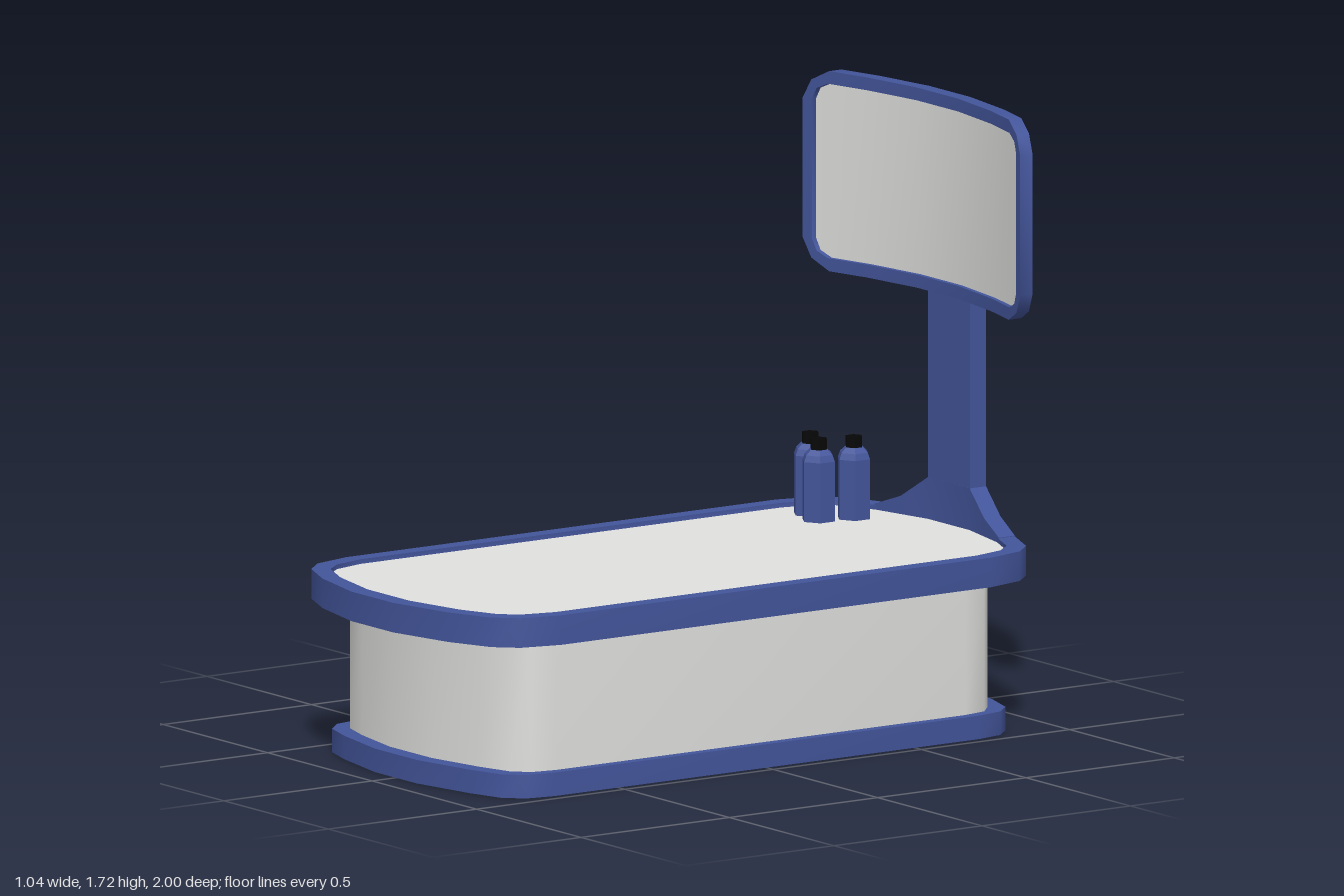
import * as THREE from 'three';
import { toCreasedNormals } from 'three/addons/utils/BufferGeometryUtils.js';

// Surface through matching loops; point i of a loop pairs with point n-1-i for the caps.
function loft(loops, { start = false, end = false, close = false, crease = 0.8 } = {}) {
  const n = loops[0].length;
  const index = [];
  const quad = (a, b, c, d) => index.push(a, b, c, a, c, d);
  const steps = close ? loops.length : loops.length - 1;
  for (let k = 0; k < steps; k++) {
    const a = k * n, b = ((k + 1) % loops.length) * n;
    for (let i = 0; i < n; i++) {
      const j = (i + 1) % n;
      quad(a + i, a + j, b + j, b + i);
    }
  }
  const top = (loops.length - 1) * n;
  for (let i = 0; i < n / 2 - 1; i++) {
    if (end) quad(top + i, top + i + 1, top + n - 2 - i, top + n - 1 - i);
    if (start) quad(n - 1 - i, n - 2 - i, i + 1, i);
  }
  const g = new THREE.BufferGeometry();
  g.setAttribute('position', new THREE.Float32BufferAttribute(loops.flat(2), 3));
  g.setIndex(index);
  return toCreasedNormals(g, crease);
}

// Counter outlines: a quarter mirrored front to back, then side to side
const RIM_OUTER = [[0.1, 1], [0.3, 0.956], [0.43, 0.902], [0.486, 0.842], [0.515, 0.725]];
const RIM_INNER = [[0.1, 0.945], [0.285, 0.906], [0.4, 0.858], [0.443, 0.806], [0.467, 0.71]];
const BASE = [[0.1, 0.92], [0.3, 0.882], [0.405, 0.85], [0.453, 0.8], [0.469, 0.715]];
const WALL = [[0.1, 0.87], [0.28, 0.836], [0.382, 0.806], [0.426, 0.764], [0.44, 0.69]];
const WALL_INSIDE = WALL.map(([x, z]) => [x * 0.985, z * 0.992]);
function counterLoop(quarter, y) {
  const half = [...quarter, ...quarter.map(([x, z]) => [x, -z]).reverse()];
  return [...half, ...half.map(([x, z]) => [-x, z]).reverse()].map(([x, z]) => [x, y, z]);
}

// Sign outline: a quarter mirrored, then bent along the curve of the sign
const SIGN_OUTER = [[0.521, 0.195], [0.491, 0.25], [0.43, 0.281], [0.3, 0.281], [0.1, 0.281]];
const SIGN_INNER = [[0.489, 0.195], [0.473, 0.228], [0.435, 0.245], [0.3, 0.245], [0.1, 0.245]];
const BEND = [[0, -0.905], [0.1, -0.905], [0.3, -0.876], [0.43, -0.844], [0.53, -0.816]];
function bend(x) {
  const a = Math.abs(x);
  const i = BEND.findIndex((p, k) => k > 0 && a <= p[0]);
  const [x0, z0] = BEND[i - 1], [x1, z1] = BEND[i];
  return z0 + (z1 - z0) * (a - x0) / (x1 - x0);
}
function signLoop(quarter, depth) {
  const half = [...quarter.map(([x, y]) => [-x, -y]), ...quarter.map(([x, y]) => [x, -y]).reverse()];
  return [...half, ...half.map(([x, y]) => [x, -y]).reverse()]
    .map(([x, y]) => [x, 1.438 + y, bend(x) - depth]);
}

export function createModel() {
  const blue = new THREE.MeshStandardMaterial({ color: 0x43559b });
  const grey = new THREE.MeshStandardMaterial({ color: 0xe0e0de, side: THREE.DoubleSide });
  const black = new THREE.MeshStandardMaterial({ color: 0x060606 });
  blue.name = 'blue';
  grey.name = 'light grey';
  black.name = 'black';

  const model = new THREE.Group();
  model.name = 'counterWithSign';
  const add = (name, geometry, material, parent = model) => {
    const mesh = new THREE.Mesh(geometry, material);
    mesh.name = name;
    parent.add(mesh);
    return mesh;
  };

  // Hollow base
  add('baseRing', loft([
    counterLoop(BASE, 0), counterLoop(BASE, 0.066),
    counterLoop(WALL_INSIDE, 0.066), counterLoop(WALL_INSIDE, 0),
  ], { close: true }), blue);
  add('counterWall', loft([counterLoop(WALL, 0.06), counterLoop(WALL, 0.436)]), grey);

  // Table top with raised rim; the rim's underside reaches in to the wall
  add('counterRim', loft([
    counterLoop(RIM_OUTER, 0.433), counterLoop(RIM_OUTER, 0.516),
    counterLoop(RIM_INNER, 0.516), counterLoop(RIM_INNER, 0.49),
    counterLoop(WALL_INSIDE, 0.433),
  ], { close: true }), blue);
  add('counterTop', loft([counterLoop(WALL_INSIDE, 0.436), counterLoop(RIM_INNER, 0.503)],
    { start: true, end: true }), grey);

  // Post with a sloped top, and its flared foot on the rim
  const section = (x, zFront, zBack, y0, yFront, yBack) =>
    [[x, y0, zFront], [x, y0, zBack], [x, yBack, zBack], [x, yFront, zFront]];
  add('signPost', loft([-0.1, 0.1].map((x) => section(x, -0.945, -1, 0.5, 1.718, 1.668)),
    { start: true, end: true, crease: 0.3 }), blue);
  const flare = [[0.3, 0.518, -0.902, -0.956], [0.2, 0.554, -0.923, -0.978], [0.1, 0.62, -0.9445, -1]];
  const flareHalf = flare.map(([x, y, f, b]) => section(-x, f, b, 0.5, y, y));
  const flareOther = flare.map(([x, y, f, b]) => section(x, f, b, 0.5, y, y)).reverse();
  add('postFoot', loft([...flareHalf, ...flareOther], { start: true, end: true }), blue);

  // Curved sign
  add('signFrame', loft([
    signLoop(SIGN_OUTER, 0.042), signLoop(SIGN_OUTER, 0),
    signLoop(SIGN_INNER, 0), signLoop(SIGN_INNER, 0.015),
  ], { start: true }), blue);
  add('signPanel', loft([signLoop(SIGN_INNER, 0.016), signLoop(SIGN_INNER, 0.014)], { end: true }), grey);

  // Three six-sided bottles
  const profile = [[0, 0], [0.049, 0], [0.049, 0.17], [0.042, 0.188], [0.027, 0.202], [0, 0.202]]
    .map(([r, y]) => new THREE.Vector2(r, y));
  const bottleBody = toCreasedNormals(new THREE.LatheGeometry(profile, 6), 0.3);
  const bottleCap = toCreasedNormals(new THREE.CylinderGeometry(0.025, 0.025, 0.032, 6), 0.3);
  for (const [x, z] of [[-0.347, -0.722], [-0.23, -0.787], [-0.258, -0.688]]) {
    const bottle = new THREE.Group();
    bottle.name = 'bottle';
    bottle.position.set(x, 0.501, z);
    add('bottleBody', bottleBody, blue, bottle);
    add('bottleCap', bottleCap, black, bottle).position.y = 0.216;
    model.add(bottle);
  }
  return model;
}
